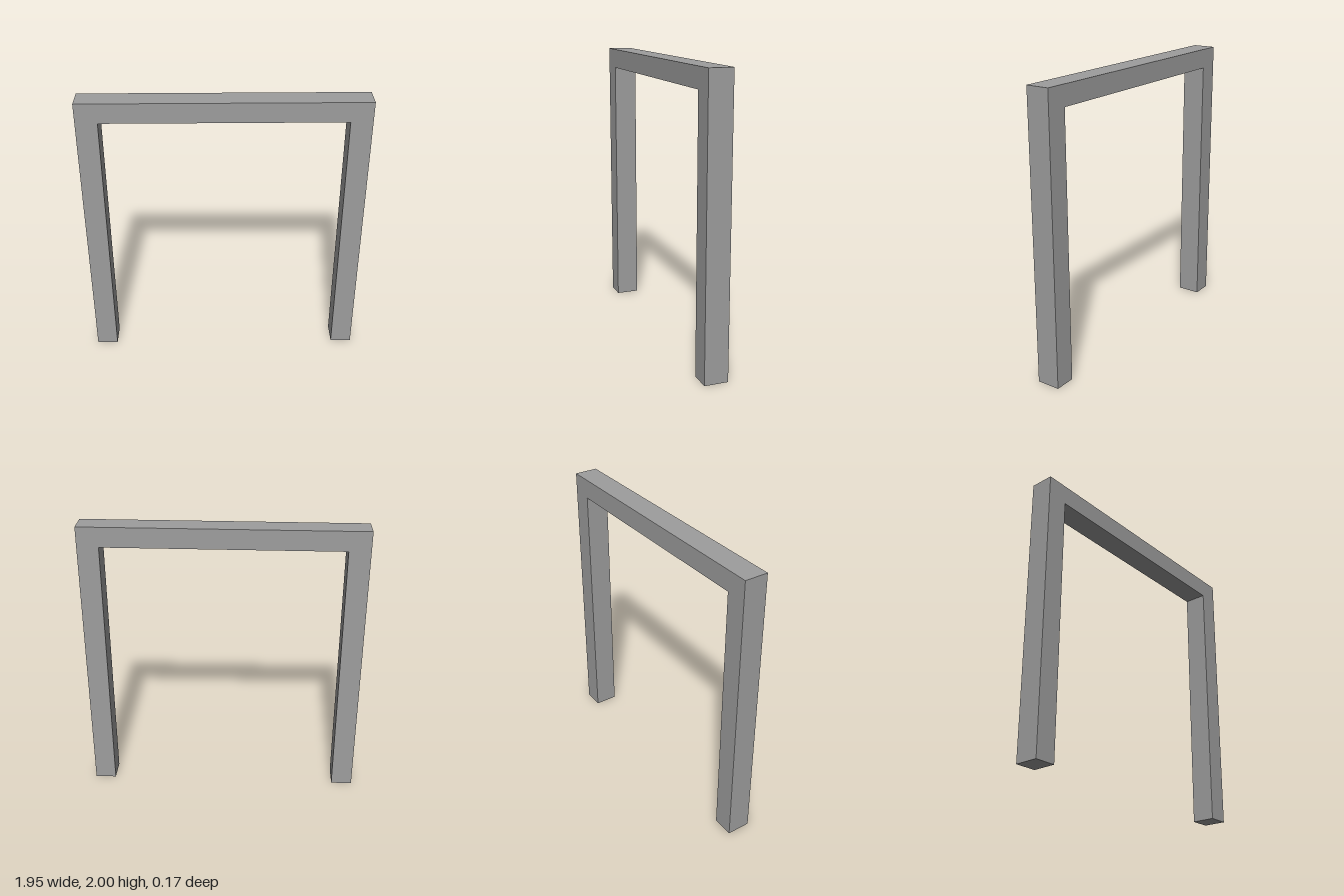
import * as THREE from 'three';

const HALF_WIDTH = 0.973, HALF_OPENING = 0.824;
const HEIGHT = 2, LINTEL_BOTTOM = 1.86, DEPTH = 0.165;

export function createModel() {
  const group = new THREE.Group();
  group.name = 'doorway';

  // Two posts and a lintel as one seamless outline, counter-clockwise
  const outline = new THREE.Shape([
    [-HALF_WIDTH, 0], [-HALF_OPENING, 0],
    [-HALF_OPENING, LINTEL_BOTTOM], [HALF_OPENING, LINTEL_BOTTOM],
    [HALF_OPENING, 0], [HALF_WIDTH, 0],
    [HALF_WIDTH, HEIGHT], [-HALF_WIDTH, HEIGHT],
  ].map(([x, y]) => new THREE.Vector2(x, y)));

  const geometry = new THREE.ExtrudeGeometry(outline, { depth: DEPTH, bevelEnabled: false });
  geometry.translate(0, 0, -DEPTH / 2);

  const frame = new THREE.Mesh(geometry, new THREE.MeshStandardMaterial({ color: 0x9d9d9d }));
  frame.name = 'doorFrame';
  group.add(frame);
  return group;
}
